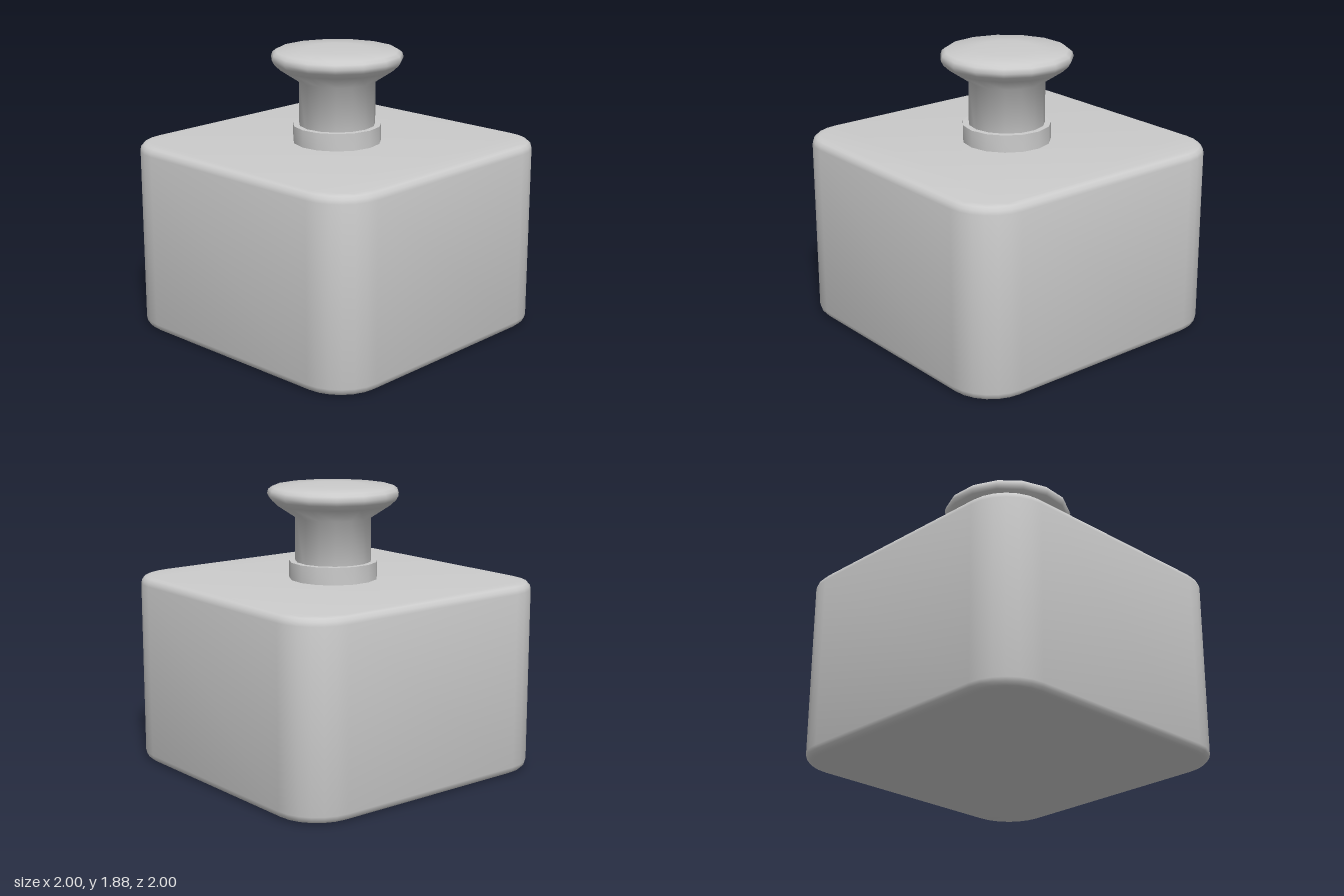
import * as THREE from 'three';
import { toCreasedNormals } from 'three/addons/utils/BufferGeometryUtils.js';

const SIDES = 15;
const material = new THREE.MeshStandardMaterial({ color: 0xcccccc });

function addPart(group, name, geometry, crease) {
  const mesh = new THREE.Mesh(toCreasedNormals(geometry, crease), material);
  mesh.name = name;
  group.add(mesh);
  return mesh;
}

// Square outline with rounded corners
function roundedSquare(half, radius) {
  const shape = new THREE.Shape();
  const c = half - radius;
  shape.moveTo(half, -c);
  shape.lineTo(half, c);
  shape.absarc(c, c, radius, 0, Math.PI / 2);
  shape.absarc(-c, c, radius, Math.PI / 2, Math.PI);
  shape.absarc(-c, -c, radius, Math.PI, Math.PI * 1.5);
  shape.absarc(c, -c, radius, Math.PI * 1.5, Math.PI * 2);
  return shape;
}

// Turned part with a vertex pointing to +x
function turned(profile) {
  const points = profile.map(([r, y]) => new THREE.Vector2(r, y));
  return new THREE.LatheGeometry(points, SIDES, Math.PI / 2);
}

export function createModel() {
  const group = new THREE.Group();

  // Block with softened top and bottom edges
  const height = 1.255, bevel = 0.05;
  const block = new THREE.ExtrudeGeometry(roundedSquare(1, 0.3), {
    depth: height - 2 * bevel, curveSegments: 3,
    bevelThickness: bevel, bevelSize: bevel, bevelOffset: -bevel, bevelSegments: 3,
  });
  block.translate(0, 0, bevel);
  block.rotateX(-Math.PI / 2);
  addPart(group, 'body', block, 0.65);

  // Collar around the foot of the stem
  const collar = addPart(group, 'collar', turned([
    [0, 1.24], [0.292, 1.24], [0.292, 1.37], [0, 1.37],
  ]), 0.65);

  // Stem flaring into a shallow domed cap
  const knob = addPart(group, 'knob', turned([
    [0, 1.25], [0.252, 1.25], [0.252, 1.66], [0.38, 1.745], [0.418, 1.78],
    [0.435, 1.81], [0.425, 1.84], [0.4, 1.858], [0.2, 1.869], [0, 1.875],
  ]), 1.1);

  collar.position.z = knob.position.z = -0.005;
  return group;
}
